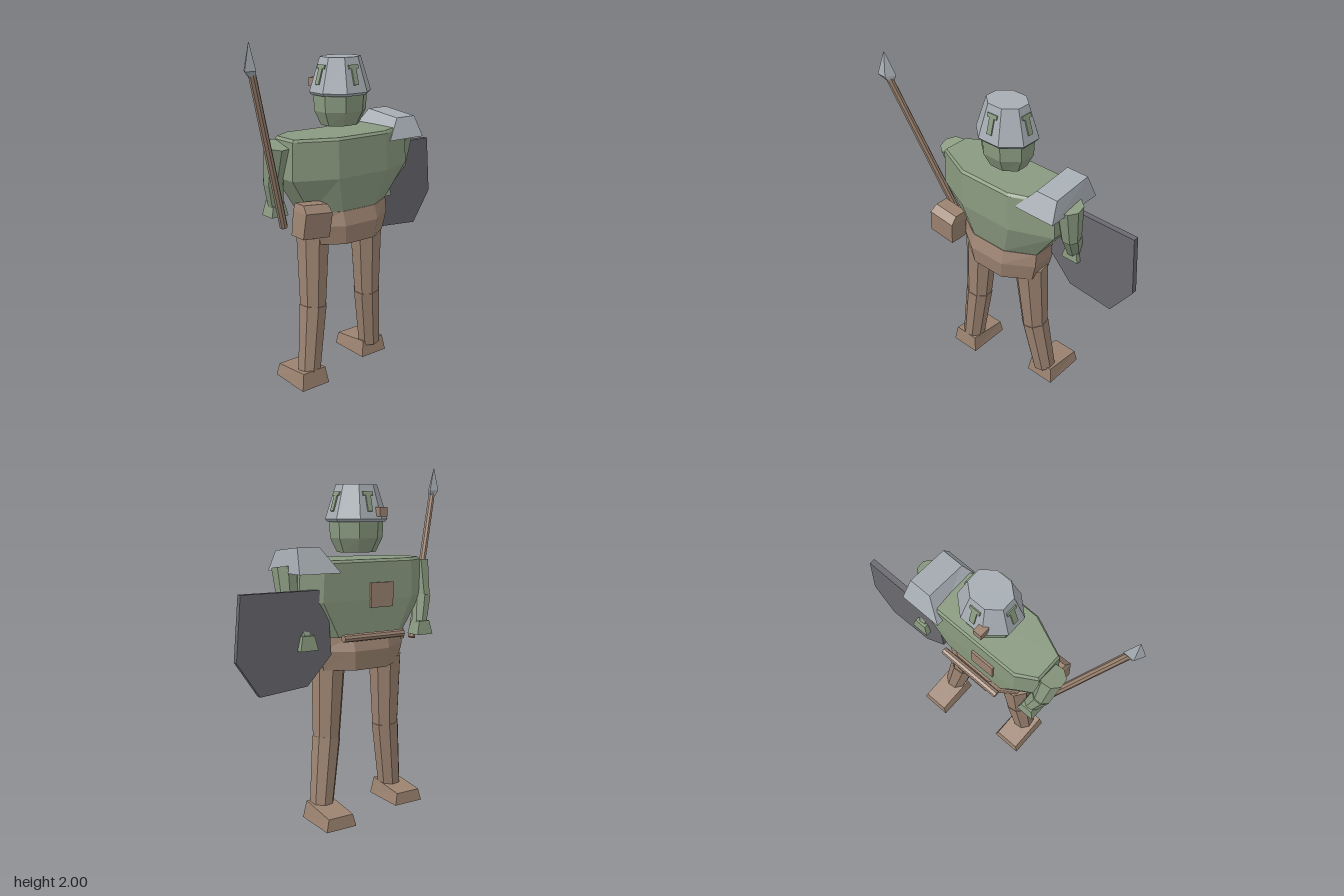
import * as THREE from 'three';

const mat = (name, color) => {
  const m = new THREE.MeshStandardMaterial({ color });
  m.name = name;
  return m;
};

// Flat-shaded mesh: split the faces so each has its own normal
function flatMesh(name, geometry, material) {
  const g = geometry.index ? geometry.toNonIndexed() : geometry;
  g.computeVertexNormals();
  const mesh = new THREE.Mesh(g, material);
  mesh.name = name;
  return mesh;
}

// Closed solid through rings of points, listed from bottom to top
function loft(rings) {
  const out = [];
  const tri = (...pts) => pts.forEach((p) => out.push(...p));
  const n = rings[0].length;
  const mid = (r) => [0, 1, 2].map((k) => r.reduce((s, p) => s + p[k], 0) / n);
  const low = mid(rings[0]), high = mid(rings[rings.length - 1]);
  for (let i = 0; i < n; i++) {
    const j = (i + 1) % n;
    for (let r = 0; r < rings.length - 1; r++) {
      const a = rings[r], b = rings[r + 1];
      tri(a[i], b[i], a[j]);
      tri(b[i], b[j], a[j]);
    }
    tri(low, rings[0][i], rings[0][j]);
    tri(high, rings[rings.length - 1][j], rings[rings.length - 1][i]);
  }
  const g = new THREE.BufferGeometry();
  g.setAttribute('position', new THREE.Float32BufferAttribute(out, 3));
  return g;
}

const OCTAGON = Array.from({ length: 8 }, (_, i) => {
  const t = ((i + 0.5) * Math.PI) / 4;
  return [Math.cos(t) * 1.04, Math.sin(t) * 1.04];
});
// Torso outline with a broad, flat chest on -z
const CHEST = [[1, 0.4], [0.42, 1], [-0.42, 1], [-1, 0.4], [-1, -0.6], [-0.72, -1], [0.72, -1], [1, -0.6]];

const ring = (shape, y, rx, rz, cx = 0, cz = 0) => shape.map(([x, z]) => [cx + x * rx, y, cz + z * rz]);
// Rectangle ring; yBack is the height along z1
const rect = (x0, x1, z0, z1, y, yBack = y) => [[x1, y, z0], [x1, yBack, z1], [x0, yBack, z1], [x0, y, z0]];

function limb(name, from, to, r0, r1, material, sides = 8) {
  const a = new THREE.Vector3(...from), b = new THREE.Vector3(...to);
  const mesh = flatMesh(name, new THREE.CylinderGeometry(r1, r0, a.distanceTo(b), sides), material);
  mesh.position.copy(a).lerp(b, 0.5);
  mesh.quaternion.setFromUnitVectors(new THREE.Vector3(0, 1, 0), b.clone().sub(a).normalize());
  return mesh;
}

export function createModel() {
  const green = mat('green', 0x8a9a80);
  const brown = mat('brown', 0x9c8371);
  const steel = mat('steel', 0xa6adb3);
  const dark = mat('shieldGrey', 0x69696f);

  const model = new THREE.Group();
  model.name = 'spearGuard';
  // Everything in this group is square to the turned body; it faces local -z
  const body = new THREE.Group();
  body.name = 'body';
  body.rotation.y = Math.PI / 3;
  model.add(body);

  // Torso and hips
  body.add(flatMesh('torso', loft([
    ring(CHEST, 1.05, 0.275, 0.15, -0.01, -0.015),
    ring(CHEST, 1.25, 0.41, 0.172, -0.005, 0),
    ring(CHEST, 1.46, 0.4, 0.168, -0.01, 0),
    ring(CHEST, 1.475, 0.388, 0.157, -0.01, 0),
  ]), green));
  body.add(flatMesh('hips', loft([
    ring(OCTAGON, 0.86, 0.262, 0.175, -0.01, -0.02),
    ring(OCTAGON, 0.97, 0.29, 0.19, -0.01, -0.02),
    ring(OCTAGON, 1.05, 0.288, 0.165, -0.01, -0.02),
  ]), brown));

  // Head and helmet
  const head = new THREE.Group();
  head.name = 'head';
  head.position.set(-0.015, 0, -0.026);
  body.add(head);
  head.add(flatMesh('face', loft([
    ring(OCTAGON, 1.51, 0.113, 0.09),
    ring(OCTAGON, 1.59, 0.15, 0.128),
    ring(OCTAGON, 1.71, 0.155, 0.135),
  ]), green));
  const rim = ring(OCTAGON, 1.695, 0.177, 0.155);
  const crown = ring(OCTAGON, 1.885, 0.117, 0.1);
  head.add(flatMesh('helmet', loft([ring(OCTAGON, 1.68, 0.165, 0.143), rim, crown]), steel));

  // Slots on each helmet facet: tall and barred ones alternate with small ones
  for (let i = 0; i < 8; i++) {
    const j = (i + 1) % 8;
    const v = [rim[i], rim[j], crown[i], crown[j]].map((p) => new THREE.Vector3(...p));
    const centre = v.reduce((s, p) => s.add(p), new THREE.Vector3()).multiplyScalar(0.25);
    const along = v[0].clone().sub(v[1]).normalize();
    const normal = along.clone().cross(v[2].clone().sub(v[0])).normalize();
    const tall = i % 2 === 1;
    const slot = new THREE.Group();
    slot.name = 'helmetSlot';
    slot.add(flatMesh('slot', new THREE.BoxGeometry(tall ? 0.032 : 0.018, tall ? 0.11 : 0.045, 0.009), green));
    if (tall) {
      const bar = flatMesh('slotBar', new THREE.BoxGeometry(0.065, 0.022, 0.009), green);
      bar.position.y = 0.045;
      slot.add(bar);
    }
    slot.quaternion.setFromRotationMatrix(new THREE.Matrix4().makeBasis(along, normal.clone().cross(along), normal));
    slot.position.copy(centre).addScaledVector(normal, 0.003);
    if (!tall) slot.position.y -= 0.03;
    head.add(slot);
  }
  const stud = flatMesh('helmetStud', new THREE.BoxGeometry(0.05, 0.05, 0.06), brown);
  stud.position.set(-0.065, 1.735, -0.145);
  head.add(stud);

  // Chest patch, belt roll and pouch
  const patch = flatMesh('chestPatch', new THREE.BoxGeometry(0.15, 0.14, 0.03), brown);
  patch.position.set(-0.088, 1.275, -0.168);
  body.add(patch);
  body.add(limb('beltRoll', [-0.215, 1.05, -0.205], [0.185, 1.05, -0.205], 0.022, 0.022, brown));
  const pouch = flatMesh('pouch', loft([
    rect(-0.088, 0.088, -0.06, 0.05, -0.09),
    rect(-0.088, 0.088, -0.06, 0.06, 0.05),
    rect(-0.08, 0.08, -0.06, 0.02, 0.09),
  ]), brown);
  pouch.position.set(-0.337, 1.04, 0.137);
  pouch.rotation.z = -0.1;
  body.add(pouch);

  // Shoulder plate
  body.add(flatMesh('shoulderPlate', loft([
    rect(0.2, 0.455, -0.21, 0.157, 1.41),
    rect(0.3, 0.435, -0.15, 0.1, 1.55, 1.525),
  ]), steel));

  // Legs and feet
  const legs = [
    { hip: [-0.13, 0.9, 0.175], knee: [-0.122, 0.47, 0.2], ankle: [-0.13, 0.08, 0.248], foot: [-0.29, -0.045] },
    { hip: [0.067, 0.9, -0.16], knee: [0.065, 0.45, -0.193], ankle: [0.06, 0.08, -0.26], foot: [0.257, -0.1655] },
  ];
  for (const { hip, knee, ankle, foot } of legs) {
    model.add(limb('thigh', knee, hip, 0.08, 0.1, brown));
    model.add(limb('shin', ankle, [knee[0], knee[1] + 0.01, knee[2]], 0.07, 0.084, brown));
    const mesh = flatMesh('foot', loft([
      rect(-0.095, 0.095, -0.136, 0.136, 0),
      rect(-0.078, 0.078, -0.128, 0.122, 0.07, 0.1),
    ]), brown);
    mesh.position.set(foot[0], 0, foot[1]);
    body.add(mesh);
  }

  // Arms
  const arms = [
    { shoulder: [-0.245, 1.44, 0.368], elbow: [-0.292, 1.22, 0.335], wrist: [-0.303, 1.07, 0.285] },
    { shoulder: [0.21, 1.44, -0.38], elbow: [0.18, 1.21, -0.395], wrist: [0.07, 1.04, -0.405] },
  ];
  for (const { shoulder, elbow, wrist } of arms) {
    model.add(limb('upperArm', elbow, shoulder, 0.057, 0.076, green));
    model.add(limb('forearm', wrist, [elbow[0], elbow[1] + 0.02, elbow[2]], 0.045, 0.06, green));
  }
  const handGeometry = () => loft([rect(-0.055, 0.055, -0.05, 0.05, -0.04), rect(-0.036, 0.036, -0.04, 0.04, 0.04)]);
  for (const [x, y, z] of [[-0.4, 1.06, -0.128], [0.39, 1.04, -0.145]]) {
    const hand = flatMesh('hand', handGeometry(), green);
    hand.position.set(x, y, z);
    body.add(hand);
  }

  // Shield
  const outline = [[0.26, 1.32], [0.77, 1.32], [0.8, 0.97], [0.67, 0.775], [0.385, 0.8], [0.235, 0.96]];
  const shape = new THREE.Shape(outline.map(([x, y]) => new THREE.Vector2(x, y)));
  const shield = flatMesh('shield', new THREE.ExtrudeGeometry(shape, { depth: 0.034, bevelEnabled: false }), dark);
  shield.position.z = -0.16;
  body.add(shield);

  // Spear
  model.add(limb('spearShaft', [-0.226, 0.98, 0.352], [-0.206, 1.85, 0.7], 0.023, 0.02, brown));
  const DIAMOND = [[1, 0], [0, 1], [-1, 0], [0, -1]];
  model.add(flatMesh('spearTip', loft([
    ring(DIAMOND, 1.835, 0.022, 0.025, -0.208, 0.697),
    ring(DIAMOND, 1.865, 0.034, 0.053, -0.21, 0.712),
    ring(DIAMOND, 2.0, 0.002, 0.002, -0.21, 0.717),
  ]), steel));

  return model;
}
